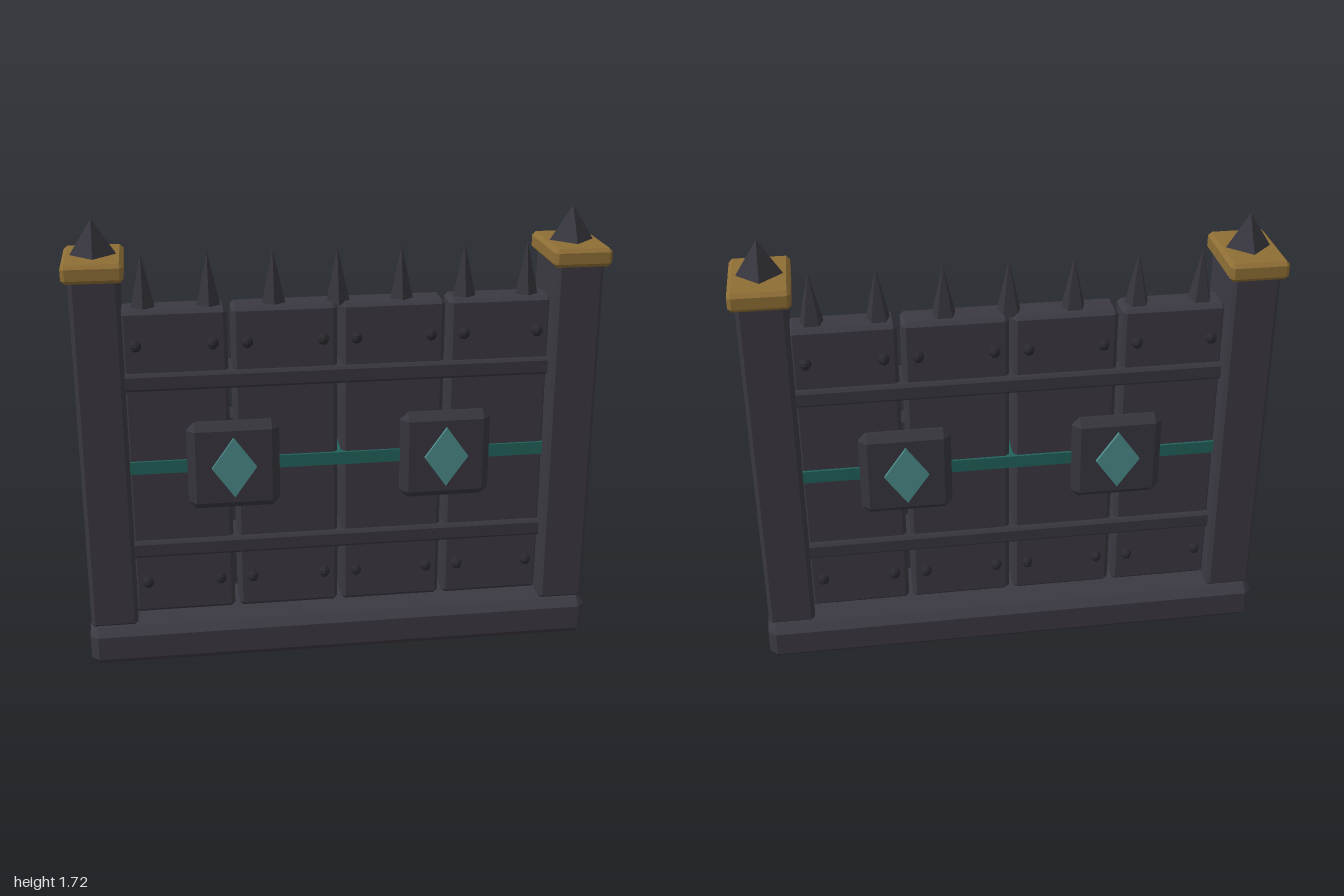
import * as THREE from 'three';
import { ConvexGeometry } from 'three/addons/geometries/ConvexGeometry.js';

const mat = (name, color, flatShading = true) => {
  const m = new THREE.MeshStandardMaterial({ color, flatShading });
  m.name = name;
  return m;
};

// Box with every edge cut by a flat chamfer c
function chamferBox(w, h, d, c) {
  const points = [];
  const [x, y, z] = [w / 2, h / 2, d / 2];
  for (const sx of [-1, 1]) for (const sy of [-1, 1]) for (const sz of [-1, 1]) {
    points.push(
      new THREE.Vector3(sx * x, sy * (y - c), sz * (z - c)),
      new THREE.Vector3(sx * (x - c), sy * y, sz * (z - c)),
      new THREE.Vector3(sx * (x - c), sy * (y - c), sz * z));
  }
  return new ConvexGeometry(points);
}

export function createModel() {
  const model = new THREE.Group();
  model.name = 'gate';
  const iron = mat('iron', 0x3b3942);
  const fittingIron = mat('fitting iron', 0x38363e);
  const darkIron = mat('dark iron', 0x2b292f);
  const brass = mat('brass', 0x8e6e35);
  const teal = mat('dark teal', 0x22625b);
  const gemTeal = mat('gem teal', 0x4b8c8a);

  const add = (name, geometry, material, x, y, z = 0) => {
    const mesh = new THREE.Mesh(geometry, material);
    mesh.name = name;
    mesh.position.set(x, y, z);
    model.add(mesh);
    return mesh;
  };

  // Plinth
  add('base', chamferBox(1.97, 0.155, 0.36, 0.03), iron, 0, 0.0775);

  // Posts with brass caps and pyramid finials
  const post = chamferBox(0.18, 1.39, 0.29, 0.015);
  const cap = chamferBox(0.22, 0.07, 0.335, 0.014);
  const finial = new THREE.ConeGeometry(0.09, 0.14, 4);
  for (const s of [-1, 1]) {
    const side = s > 0 ? 'left' : 'right';
    add(side + 'Post', post, iron, s * 0.888, 0.845);
    add(side + 'Cap', cap, brass, s * 0.89, 1.555);
    add(side + 'Finial', finial, fittingIron, s * 0.888, 1.65);
  }

  // Four upright panels
  const plank = chamferBox(0.392, 1.225, 0.13, 0.015);
  const plankX = [-0.612, -0.204, 0.204, 0.612];
  for (const x of plankX) add('plank', plank, iron, x, 0.7775);

  // Row of spikes along the top
  const spike = new THREE.ConeGeometry(0.048, 0.21, 5);
  for (let i = -3; i <= 3; i++) add('spike', spike, fittingIron, i * 0.24, 1.485);

  // Cross rails and the teal band, running through both faces
  const rail = chamferBox(1.62, 0.066, 0.176, 0.01);
  for (const y of [0.443, 1.12]) add('rail', rail, fittingIron, 0, y);
  add('tealBand', new THREE.BoxGeometry(1.62, 0.05, 0.15), teal, 0, 0.78);

  // Fittings repeated on front and back
  const plate = chamferBox(0.35, 0.35, 0.07, 0.03);
  const diamond = new THREE.Shape([
    new THREE.Vector2(0.085, 0), new THREE.Vector2(0, 0.12),
    new THREE.Vector2(-0.085, 0), new THREE.Vector2(0, -0.12)]);
  const gem = new THREE.ExtrudeGeometry(diamond, { depth: 0.02, bevelEnabled: false });
  gem.translate(0, 0, -0.01);
  const rivet = new THREE.SphereGeometry(0.022, 8, 6);
  for (const f of [-1, 1]) {
    for (const s of [-1, 1]) {
      add('plate', plate, fittingIron, s * 0.408, 0.78, f * 0.073);
      add('gem', gem, gemTeal, s * 0.408, 0.78, f * 0.11);
    }
    for (const x of plankX) for (const dx of [-0.141, 0.141]) for (const y of [0.3, 1.26])
      add('rivet', rivet, darkIron, x + dx, y, f * 0.073);
  }
  return model;
}
